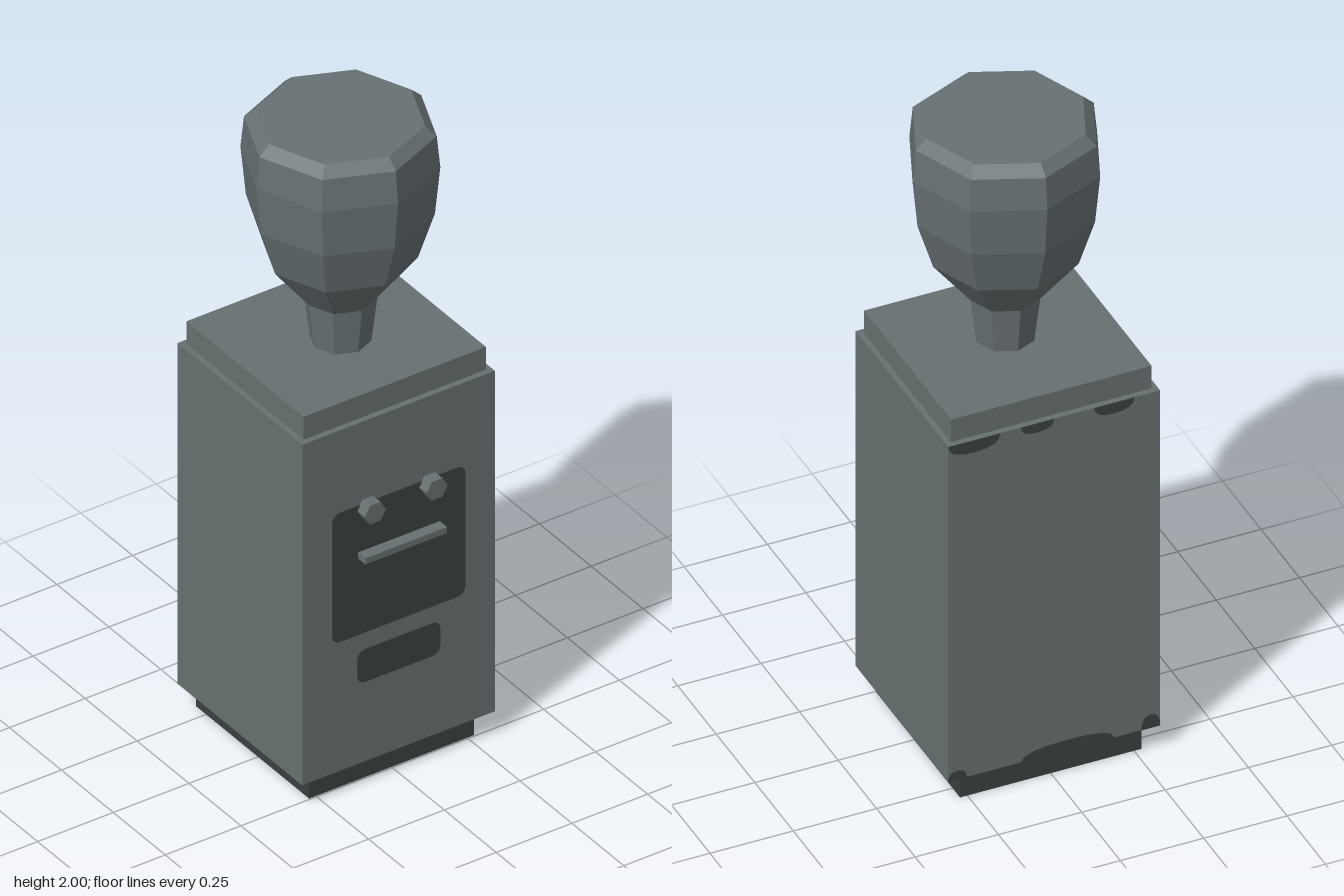
import * as THREE from 'three';

const casing = new THREE.MeshStandardMaterial({ color: 0x677070, name: 'casing grey' });
const dark = new THREE.MeshStandardMaterial({ color: 0x3b4140, name: 'dark grey' });
const bulbGrey = new THREE.MeshStandardMaterial({ color: 0x677073, name: 'bulb grey' });

// Flat faces without touching the material
function faceted(geometry) {
  const g = geometry.index ? geometry.toNonIndexed() : geometry;
  g.computeVertexNormals();
  return g;
}

function roundedRect(x0, x1, y0, y1, r) {
  const s = new THREE.Shape();
  s.moveTo(x0 + r, y0);
  s.lineTo(x1 - r, y0);
  s.quadraticCurveTo(x1, y0, x1, y0 + r);
  s.lineTo(x1, y1 - r);
  s.quadraticCurveTo(x1, y1, x1 - r, y1);
  s.lineTo(x0 + r, y1);
  s.quadraticCurveTo(x0, y1, x0, y1 - r);
  s.lineTo(x0, y0 + r);
  s.quadraticCurveTo(x0, y0, x0 + r, y0);
  return s;
}

export function createModel() {
  const model = new THREE.Group();
  model.name = 'cabinet';

  const add = (name, geometry, material) => {
    const mesh = new THREE.Mesh(geometry, material);
    mesh.name = name;
    model.add(mesh);
    return mesh;
  };
  const box = (name, material, x0, x1, y0, y1, z0, z1) =>
    add(name, new THREE.BoxGeometry(x1 - x0, y1 - y0, z1 - z0), material)
      .position.set((x0 + x1) / 2, (y0 + y1) / 2, (z0 + z1) / 2);
  const plate = (name, shape) =>
    add(name, new THREE.ExtrudeGeometry(shape, { depth: 0.002, bevelEnabled: false, curveSegments: 4 }), dark)
      .position.set(0, 0, 0.28);

  // Stacked housing
  box('plinth', dark, -0.272, 0.272, 0, 0.08, -0.298, 0.246);
  box('body', casing, -0.318, 0.318, 0.08, 1.2, -0.32, 0.28);
  box('topSlab', casing, -0.301, 0.301, 1.2, 1.275, -0.302, 0.262);

  // Eight-sided bulb on a narrow neck
  const profile = [
    [0.085, 1.27], [0.103, 1.42], [0.215, 1.565], [0.262, 1.715],
    [0.277, 1.87], [0.267, 1.97], [0.235, 2], [0, 2],
  ].map(([r, y]) => new THREE.Vector2(r, y));
  add('bulb', faceted(new THREE.LatheGeometry(profile, 8)), bulbGrey);

  // Painted front panels
  plate('upperPanel', roundedRect(-0.22, 0.22, 0.505, 0.93, 0.03));
  plate('lowerPanel', roundedRect(-0.137, 0.137, 0.342, 0.45, 0.03));

  // Hexagonal knobs and the handle bar
  for (const side of [-1, 1]) {
    const knob = add(side < 0 ? 'rightKnob' : 'leftKnob',
      faceted(new THREE.CylinderGeometry(0.035, 0.035, 0.038, 6, 1, false, Math.PI / 2)), casing);
    knob.rotation.x = Math.PI / 2;
    knob.position.set(side * 0.102, 0.913, 0.298);
  }
  box('handle', casing, -0.135, 0.135, 0.757, 0.777, 0.279, 0.317);

  // Worn patches along the back edges: x centre, half width, edge height, reach
  const patches = [
    [0.24, 0.078, 1.2, -0.04], [0.05, 0.05, 1.2, -0.03], [-0.18, 0.06, 1.2, -0.035],
    [0.29, 0.028, 0.08, 0.03], [-0.04, 0.14, 0.08, 0.035], [-0.29, 0.028, 0.08, 0.045],
  ];
  for (const [x, half, y, reach] of patches) {
    const s = new THREE.Shape();
    s.moveTo(x - half, y);
    s.lineTo(x + half, y);
    s.quadraticCurveTo(x + half, y + reach, x, y + reach);
    s.quadraticCurveTo(x - half, y + reach, x - half, y);
    add('wornPatch', new THREE.ExtrudeGeometry(s, { depth: 0.002, bevelEnabled: false, curveSegments: 4 }), dark)
      .position.z = -0.322;
  }

  return model;
}
